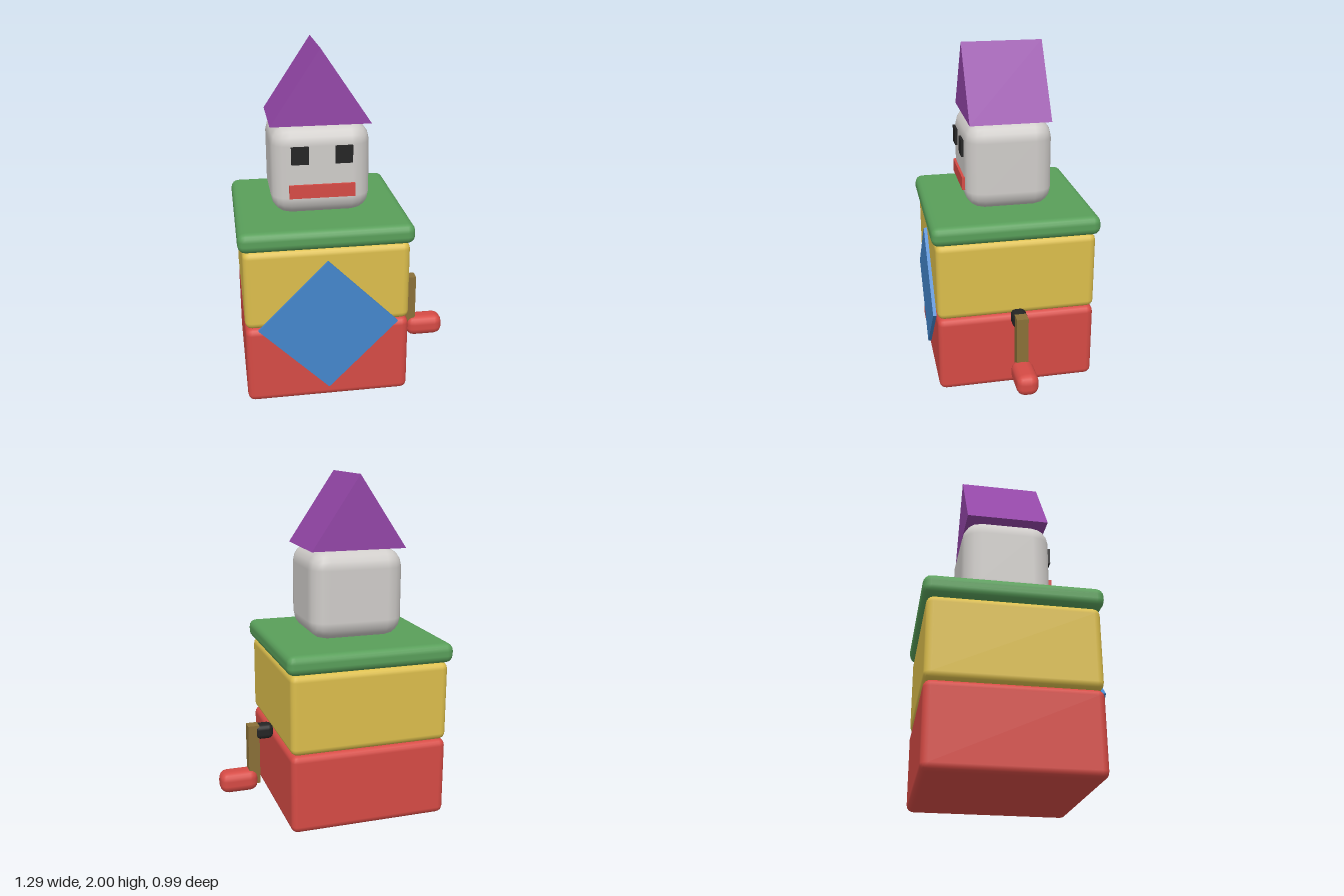
import * as THREE from 'three';
import { RoundedBoxGeometry } from 'three/addons/geometries/RoundedBoxGeometry.js';

const material = (name, color) => {
  const m = new THREE.MeshStandardMaterial({ color });
  m.name = name;
  return m;
};

export function createModel() {
  const red = material('red', 0xd64b45);
  const yellow = material('yellow', 0xdcbe4c);
  const green = material('green', 0x599f5a);
  const blue = material('blue', 0x4486cc);
  const purple = material('purple', 0x9446a8);
  const pale = material('pale grey', 0xd0cdca);
  const black = material('black', 0x242424);
  const brown = material('brown', 0x8a7038);

  const group = new THREE.Group();
  group.name = 'jackInTheBox';
  const cx = -0.155; // middle of the box, the crank sits to its left

  const add = (name, geometry, mat, x, y, z) => {
    const mesh = new THREE.Mesh(geometry, mat);
    mesh.name = name;
    mesh.position.set(x, y, z);
    group.add(mesh);
    return mesh;
  };
  const rounded = (w, h, d, r) => new RoundedBoxGeometry(w, h, d, 2, r);
  const box = (w, h, d) => new THREE.BoxGeometry(w, h, d);

  // Stacked box halves and lid
  add('lowerBox', rounded(0.94, 0.47, 0.94, 0.04), red, cx, 0.24, 0);
  add('upperBox', rounded(0.94, 0.47, 0.94, 0.04), yellow, cx, 0.71, 0);
  add('lid', rounded(0.985, 0.115, 0.985, 0.045), green, cx, 1.0025, 0);

  // Diamond panel on the front
  const diamond = add('frontDiamond', box(0.563, 0.563, 0.02), blue, cx, 0.477, 0.48);
  diamond.rotation.z = Math.PI / 4;

  // Head and face
  add('head', rounded(0.565, 0.52, 0.515, 0.11), pale, cx, 1.32, 0);
  for (const side of [-1, 1]) {
    add(side < 0 ? 'rightEye' : 'leftEye', box(0.098, 0.1, 0.02), black, cx + side * 0.123, 1.42, 0.262);
  }
  add('mouth', box(0.372, 0.077, 0.02), red, cx, 1.212, 0.262);

  // Wedge hat, its ridge running front to back
  const outline = new THREE.Shape([
    new THREE.Vector2(-0.2825, 0),
    new THREE.Vector2(0.2825, 0),
    new THREE.Vector2(0, 0.42),
  ]);
  const hat = new THREE.ExtrudeGeometry(outline, { depth: 0.474, bevelEnabled: false });
  add('hat', hat.translate(0, 0, -0.237), purple, cx, 1.58, 0);

  // Crank
  add('crankHub', rounded(0.11, 0.09, 0.09, 0.03), black, 0.365, 0.475, 0);
  add('crankArm', box(0.068, 0.37, 0.068), brown, 0.431, 0.335, 0);
  add('crankHandle', rounded(0.23, 0.13, 0.13, 0.05), red, 0.527, 0.175, 0);

  return group;
}
